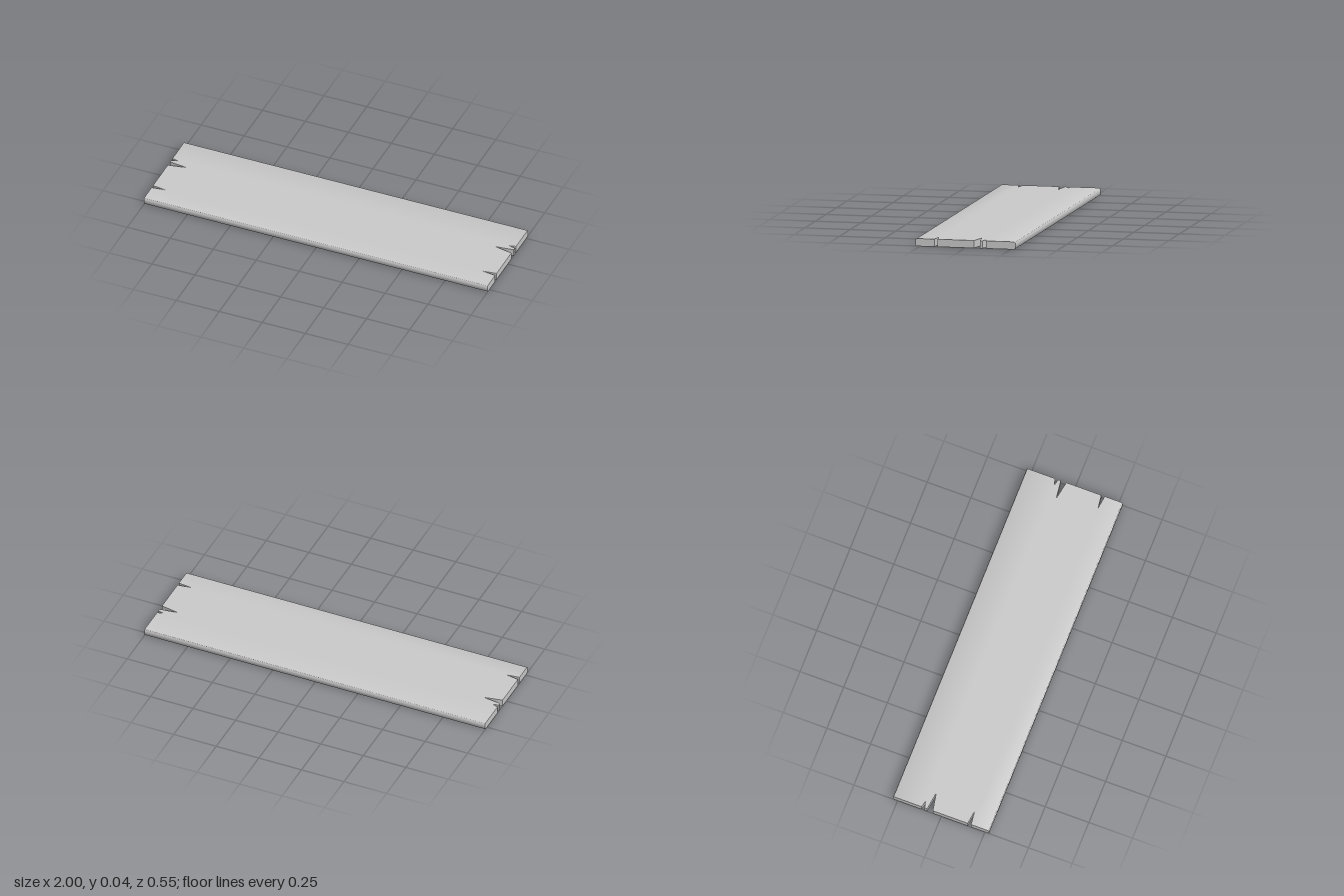
import * as THREE from 'three';
import { toCreasedNormals } from 'three/addons/utils/BufferGeometryUtils.js';

const HALF_DEPTH = 0.275, HEIGHT = 0.041, RADIUS = 0.01, ARC = 4;

// End cracks, front to back: [z of front lip, z of tip, z of back lip, x of tip]
const CRACKS = [
  [0.171, 0.162, 0.152, 0.925],
  [-0.048, -0.067, -0.08, 0.9],
  [-0.095, -0.104, -0.1125, 0.965],
];

// Plan of the plank, with the same cracks mirrored onto both ends
function plankPlan() {
  const end = [[1, HALF_DEPTH]];
  for (const [front, tip, back, x] of CRACKS) end.push([1, front], [x, tip], [1, back]);
  end.push([1, -HALF_DEPTH]);
  const otherEnd = end.map(([x, z]) => [-x, z]).reverse();
  return new THREE.Shape([...end, ...otherEnd].map(([x, z]) => new THREE.Vector2(x, -z)));
}

// Height and inset of each layer, rounding the long edges
function edgeLayers() {
  const bottom = [];
  for (let i = 0; i <= ARC; i++) {
    const a = (i / ARC) * Math.PI / 2;
    bottom.push([RADIUS * (1 - Math.cos(a)), RADIUS * (1 - Math.sin(a))]);
  }
  const top = bottom.map(([y, inset]) => [HEIGHT - y, inset]).reverse();
  return [...bottom, ...top];
}

export function createModel() {
  const layers = edgeLayers();
  const steps = layers.length - 1;
  const geometry = new THREE.ExtrudeGeometry(plankPlan(), { depth: steps, steps, bevelEnabled: false });
  geometry.rotateX(-Math.PI / 2);

  // Set each layer's height and pull its long edges inward
  const pos = geometry.attributes.position;
  for (let i = 0; i < pos.count; i++) {
    const [y, inset] = layers[Math.round(pos.getY(i))];
    const z = pos.getZ(i);
    pos.setY(i, y);
    if (Math.abs(z) > HALF_DEPTH - 0.001) pos.setZ(i, z - Math.sign(z) * inset);
  }

  const plank = new THREE.Mesh(
    toCreasedNormals(geometry, 0.6),
    new THREE.MeshStandardMaterial({ color: 0xcccccc })
  );
  plank.name = 'plank';

  const group = new THREE.Group();
  group.name = 'crackedPlank';
  group.add(plank);
  return group;
}
